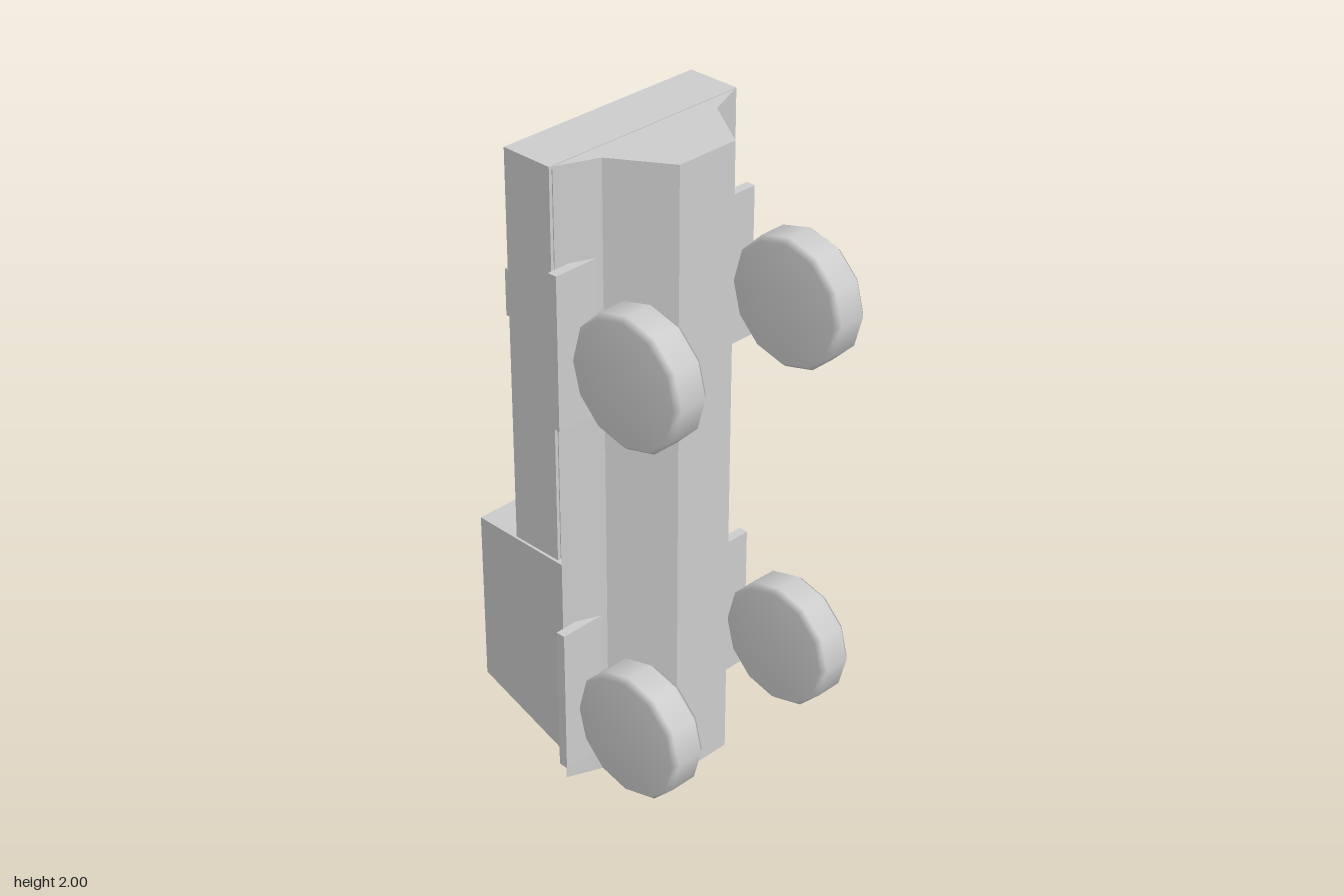
import * as THREE from 'three';

export function createModel() {
  const model = new THREE.Group();
  model.name = 'armedTruck';
  const grey = new THREE.MeshStandardMaterial({ color: 0xcccccc });
  grey.name = 'plainGrey';

  const add = (name, geometry, parent = model) => {
    const mesh = new THREE.Mesh(geometry, grey);
    mesh.name = name;
    parent.add(mesh);
    return mesh;
  };
  // Box given by its limits on each axis
  const block = (name, x0, x1, y0, y1, z0, z1, parent) => {
    const mesh = add(name, new THREE.BoxGeometry(x1 - x0, y1 - y0, z1 - z0), parent);
    mesh.position.set((x0 + x1) / 2, (y0 + y1) / 2, (z0 + z1) / 2);
    return mesh;
  };

  // Hull: one keel-shaped section along the full length
  const section = [
    [-0.34, 0.03], [-0.215, -0.022], [-0.104, -0.195],
    [0.104, -0.195], [0.215, -0.022], [0.34, 0.03],
  ].map(([x, y]) => new THREE.Vector2(x, y));
  const hull = new THREE.ExtrudeGeometry(new THREE.Shape(section), { depth: 2, bevelEnabled: false });
  add('hull', hull.rotateX(-Math.PI / 2));

  // Cab: box with tapered sides, sloped windscreen and sloped rear
  const cab = new THREE.BoxGeometry(2, 2, 2);
  const p = cab.attributes.position;
  for (let i = 0; i < p.count; i++) {
    const roof = p.getZ(i) < 0;
    const rear = p.getY(i) > 0;
    p.setXYZ(i,
      Math.sign(p.getX(i)) * (roof ? 0.295 : 0.323),
      rear ? (roof ? 0.72 : 0.745) : (roof ? 0.16 : 0.065),
      roof ? -0.422 : -0.033);
  }
  cab.computeVertexNormals();
  add('cab', cab);

  // Cargo bed, open towards the cab
  const bed = new THREE.Group();
  bed.name = 'cargoBed';
  model.add(bed);
  block('bedFloor', -0.34, 0.34, 0.785, 1.99, -0.037, -0.031, bed);
  for (const s of [-1, 1]) {
    const wall = block('bedSide', -0.0075, 0.0075, 0.782, 2, -0.205, -0.034, bed);
    wall.position.x = s * 0.3425;
  }
  block('tailgate', -0.335, 0.335, 1.985, 2, -0.205, -0.034, bed);

  // Wheels and fenders
  const tyre = new THREE.LatheGeometry([
    [0, -0.06], [0.185, -0.06], [0.2, -0.043], [0.2, 0.043], [0.185, 0.06], [0, 0.06],
  ].map(([r, h]) => new THREE.Vector2(r, h)), 12).rotateZ(Math.PI / 2);
  for (const s of [-1, 1]) {
    for (const y of [0.32, 1.475]) {
      add('wheel', tyre).position.set(s * 0.309, y, 0.249);
      const fender = block('fender', -0.085, 0.085, y - 0.237, y + 0.237, -0.015, 0.015);
      fender.position.x = s * 0.294;
    }
  }

  // Gun mount: pedestal with three splayed legs
  const mount = new THREE.Group();
  mount.name = 'gunMount';
  mount.position.y = 1.402;
  model.add(mount);
  const pedestal = add('pedestal',
    new THREE.CylinderGeometry(0.055, 0.055, 0.22, 20).rotateX(Math.PI / 2), mount);
  pedestal.position.z = -0.165;
  for (let i = 0; i < 3; i++) {
    const arm = new THREE.Group();
    arm.rotation.z = (i * Math.PI * 2) / 3;
    mount.add(arm);
    const leg = block('mountLeg', -0.028, 0.028, -0.28, -0.02, -0.085, -0.055, arm);
    leg.rotation.x = -0.08;
  }

  // Gun with ammunition box, feed and sight plate
  const gun = new THREE.Group();
  gun.name = 'gun';
  model.add(gun);
  block('receiver', -0.042, 0.042, 1.22, 1.44, -0.41, -0.308, gun);
  block('cradle', -0.03, 0.03, 1.37, 1.43, -0.31, -0.27, gun);
  block('sightPlate', -0.055, 0.052, 1.455, 1.565, -0.288, -0.273, gun);
  block('feedArm', -0.122, -0.077, 1.44, 1.487, -0.33, -0.225, gun);
  block('ammunitionBox', -0.144, -0.062, 1.325, 1.475, -0.45, -0.33, gun);
  block('latch', -0.158, -0.144, 1.345, 1.415, -0.42, -0.37, gun);
  const barrel = add('barrel', new THREE.CylinderGeometry(0.008, 0.008, 0.445, 8), gun);
  barrel.position.set(0.002, 1.0025, -0.358);

  return model;
}
